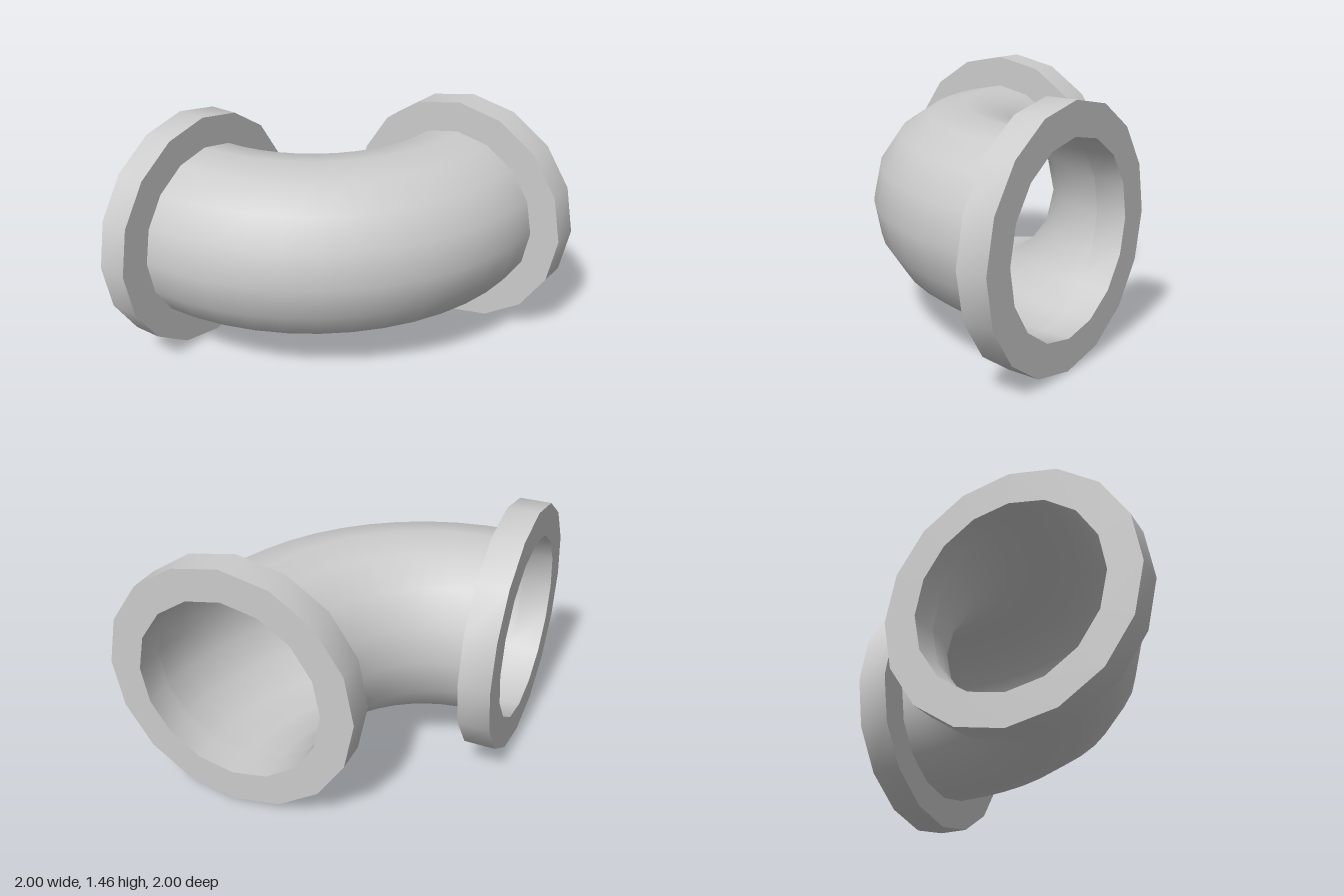
import * as THREE from 'three';
import { toCreasedNormals } from 'three/addons/utils/BufferGeometryUtils.js';

const SIDES = 16;
const PIPE_R = 0.543;     // pipe and bore radius
const FLANGE_R = 0.73;    // also the height of the pipe axis
const THICK = 0.18;       // flange thickness
const FACE = -1 + THICK;  // where the flanges meet the bend
const AXIS = 0.27;        // offset of each pipe axis

export function createModel() {
  const model = new THREE.Group();
  const material = new THREE.MeshStandardMaterial({ color: 0xcccccc, side: THREE.DoubleSide });

  // Quarter-turn thin-walled bend, lying flat
  const bend = new THREE.Mesh(
    new THREE.TorusGeometry(AXIS - FACE, PIPE_R, SIDES, 12, Math.PI / 2), material);
  bend.name = 'elbowPipe';
  bend.rotation.x = Math.PI / 2;
  bend.position.set(FACE, FLANGE_R, FACE);
  model.add(bend);

  // Flange ring with an open bore, hard rims and smooth sides
  const profile = [
    [PIPE_R, 0], [FLANGE_R, 0], [FLANGE_R, THICK], [PIPE_R, THICK], [PIPE_R, 0],
  ].map(([r, y]) => new THREE.Vector2(r, y));
  const ring = toCreasedNormals(new THREE.LatheGeometry(profile, SIDES), Math.PI / 6);

  const addFlange = (name, position, rotation) => {
    const flange = new THREE.Mesh(ring, material);
    flange.name = name;
    flange.position.set(...position);
    flange.rotation.set(...rotation);
    model.add(flange);
  };
  addFlange('backFlange', [AXIS, FLANGE_R, -1], [Math.PI / 2, 0, 0]);
  addFlange('sideFlange', [-1, FLANGE_R, AXIS], [0, 0, -Math.PI / 2]);

  return model;
}
